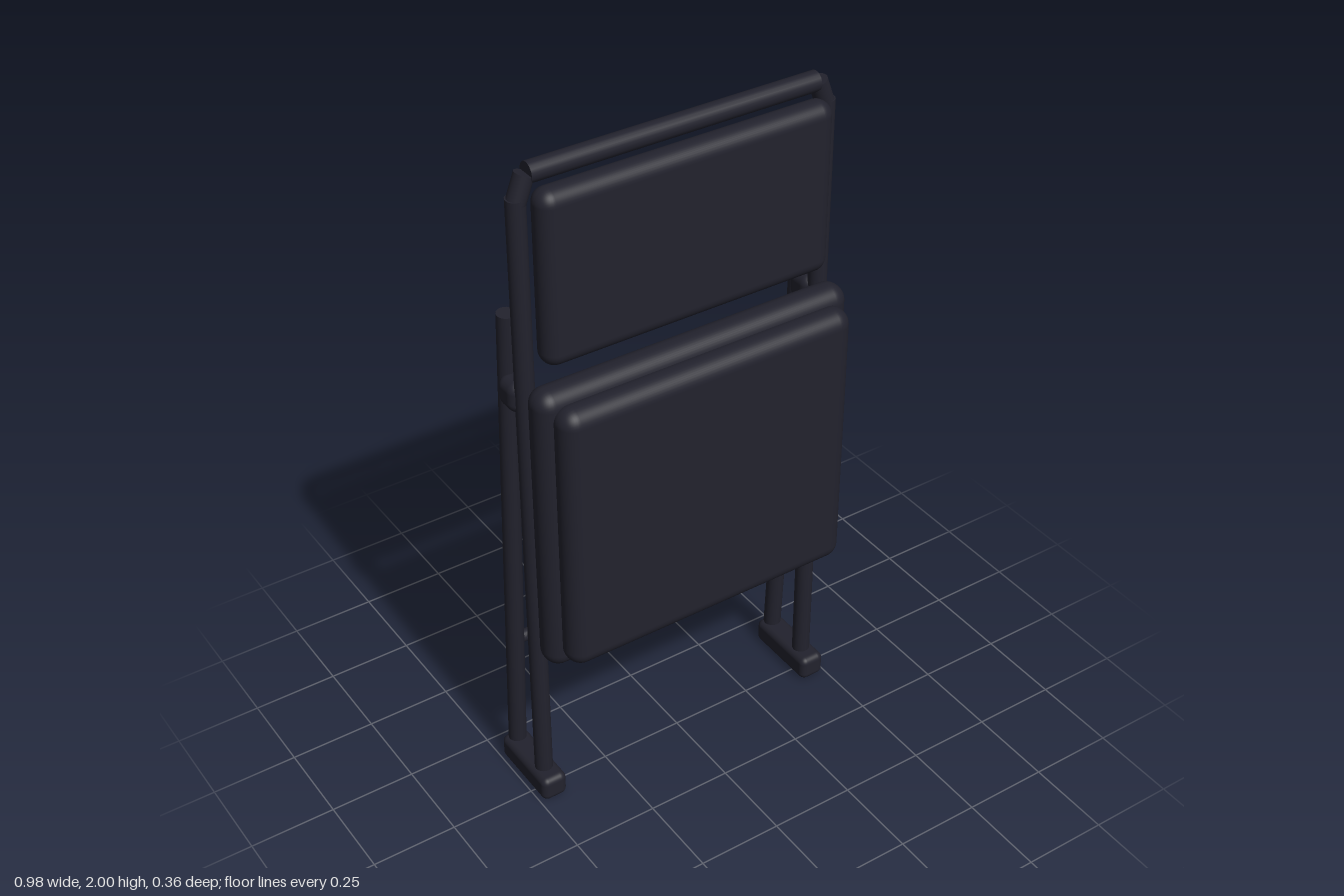
import * as THREE from 'three';
import { RoundedBoxGeometry } from 'three/addons/geometries/RoundedBoxGeometry.js';

export function createModel() {
  const group = new THREE.Group();
  const charcoal = new THREE.MeshStandardMaterial({ color: 0x22222d });
  charcoal.name = 'charcoal';

  const add = (name, geometry, x, y, z) => {
    const mesh = new THREE.Mesh(geometry, charcoal);
    mesh.name = name;
    mesh.position.set(x, y, z);
    group.add(mesh);
    return mesh;
  };

  // Rounded block given by its extents on each axis
  const block = (name, [x0, x1], [y0, y1], [z0, z1], r) =>
    add(name, new RoundedBoxGeometry(x1 - x0, y1 - y0, z1 - z0, 5, r),
      (x0 + x1) / 2, (y0 + y1) / 2, (z0 + z1) / 2);

  // Straight tube between two points
  const rod = (name, a, b, r) => {
    const start = new THREE.Vector3(...a), end = new THREE.Vector3(...b);
    const dir = end.clone().sub(start);
    const mid = start.add(end).multiplyScalar(0.5);
    const mesh = add(name, new THREE.CylinderGeometry(r, r, dir.length(), 20), mid.x, mid.y, mid.z);
    mesh.quaternion.setFromUnitVectors(new THREE.Vector3(0, 1, 0), dir.normalize());
  };

  // Padding: backrest, folded seat and its cushion
  block('backrest', [-0.43, 0.43], [1.455, 1.945], [0, 0.083], 0.04);
  block('seatBase', [-0.477, 0.477], [0.522, 1.408], [0.02, 0.117], 0.046);
  block('seatCushion', [-0.445, 0.445], [0.555, 1.377], [0.085, 0.18], 0.046);

  // Cross tubes
  rod('topRail', [-0.42, 1.972, -0.003], [0.42, 1.972, -0.003], 0.028);
  rod('rearCrossbar', [-0.45, 0.44, -0.148], [0.45, 0.44, -0.148], 0.018);

  // Side frames
  for (const s of [-1, 1]) {
    const x = s * 0.453;
    rod('frontLeg', [x, 0.04, -0.002], [x, 1.915, -0.002], 0.026);
    rod('frameCorner', [x, 1.9, -0.002], [s * 0.426, 1.972, -0.002], 0.026);
    rod('rearLeg', [x, 0.04, -0.15], [x, 1.558, -0.077], 0.026);
    block('pivotBracket', [x - 0.037, x + 0.037], [1.297, 1.388], [-0.088, 0], 0.03);
    block('foot', [x - 0.039, x + 0.039], [0, 0.077], [-0.177, 0.064], 0.02);
  }
  return group;
}
